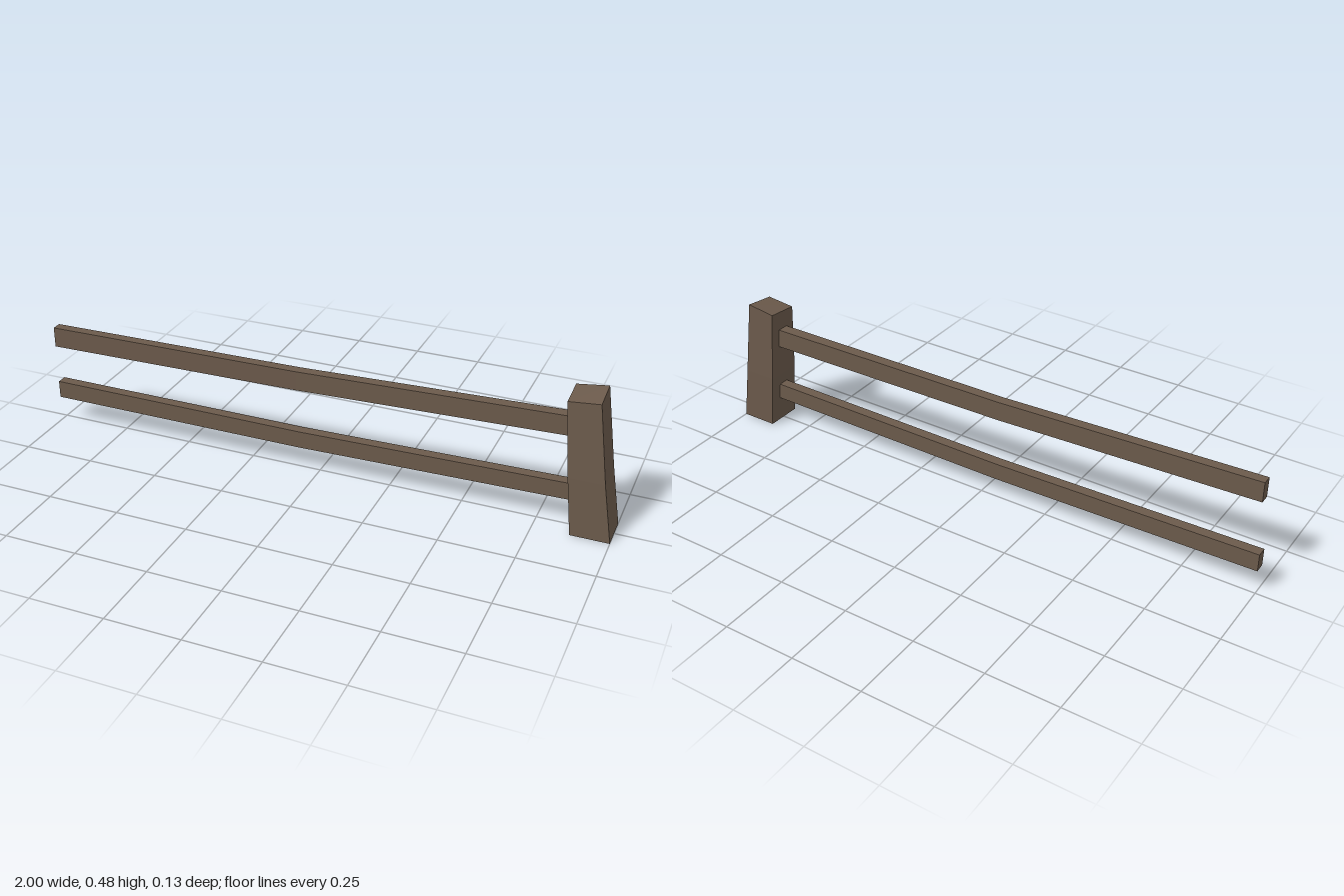
import * as THREE from 'three';

// Closed four-sided loft; each section is four corners, counter-clockwise seen from the far end
function loft(sections, material, name) {
  const pos = [];
  const quad = (a, b, c, d) => pos.push(...a, ...b, ...c, ...a, ...c, ...d);
  for (let i = 0; i < sections.length - 1; i++) {
    const s = sections[i], t = sections[i + 1];
    for (let k = 0; k < 4; k++) {
      const n = (k + 1) % 4;
      quad(s[k], s[n], t[n], t[k]);
    }
  }
  const [a, b, c, d] = sections[0];
  quad(d, c, b, a);
  quad(...sections[sections.length - 1]);
  const geometry = new THREE.BufferGeometry();
  geometry.setAttribute('position', new THREE.Float32BufferAttribute(pos, 3));
  geometry.computeVertexNormals();
  const mesh = new THREE.Mesh(geometry, material);
  mesh.name = name;
  return mesh;
}

// Post section: rectangle in x and z, with a height for each corner
const postSection = (x0, x1, zFront, zBack, [y0, y1, y2, y3]) => [
  [x0, y0, zFront], [x1, y1, zFront], [x1, y2, zBack], [x0, y3, zBack],
];

// Rail section: rectangle in y and z at one x
const railSection = ([x, y0, y1, zBack, zFront]) => [
  [x, y0, zFront], [x, y0, zBack], [x, y1, zBack], [x, y1, zFront],
];

export function createModel() {
  const group = new THREE.Group();
  group.name = 'fence';
  const wood = new THREE.MeshStandardMaterial({ color: 0x6b5a4b, flatShading: true });
  wood.name = 'weathered wood';

  // Leaning post, tapered, with a sloping top
  group.add(loft([
    postSection(0.872, 1.0, 0.063, -0.063, [0, 0, 0, 0]),
    postSection(0.848, 0.965, 0.056, -0.068, [0.2, 0.2, 0.2, 0.2]),
    postSection(0.822, 0.925, 0.04, -0.066, [0.452, 0.462, 0.476, 0.462]),
  ], wood, 'post'));

  // Sagging rails: x, bottom, top, back, front
  const rails = {
    upperRail: [
      [-0.973, 0.312, 0.383, 0.032, 0.066],
      [-0.07, 0.306, 0.374, -0.002, 0.034],
      [0.87, 0.32, 0.388, -0.032, 0.008],
    ],
    lowerRail: [
      [-1.0, 0.09, 0.152, -0.007, 0.029],
      [-0.07, 0.083, 0.143, -0.017, 0.02],
      [0.9, 0.097, 0.156, -0.024, 0.013],
    ],
  };
  for (const [name, rows] of Object.entries(rails)) {
    group.add(loft(rows.map(railSection), wood, name));
  }
  return group;
}
